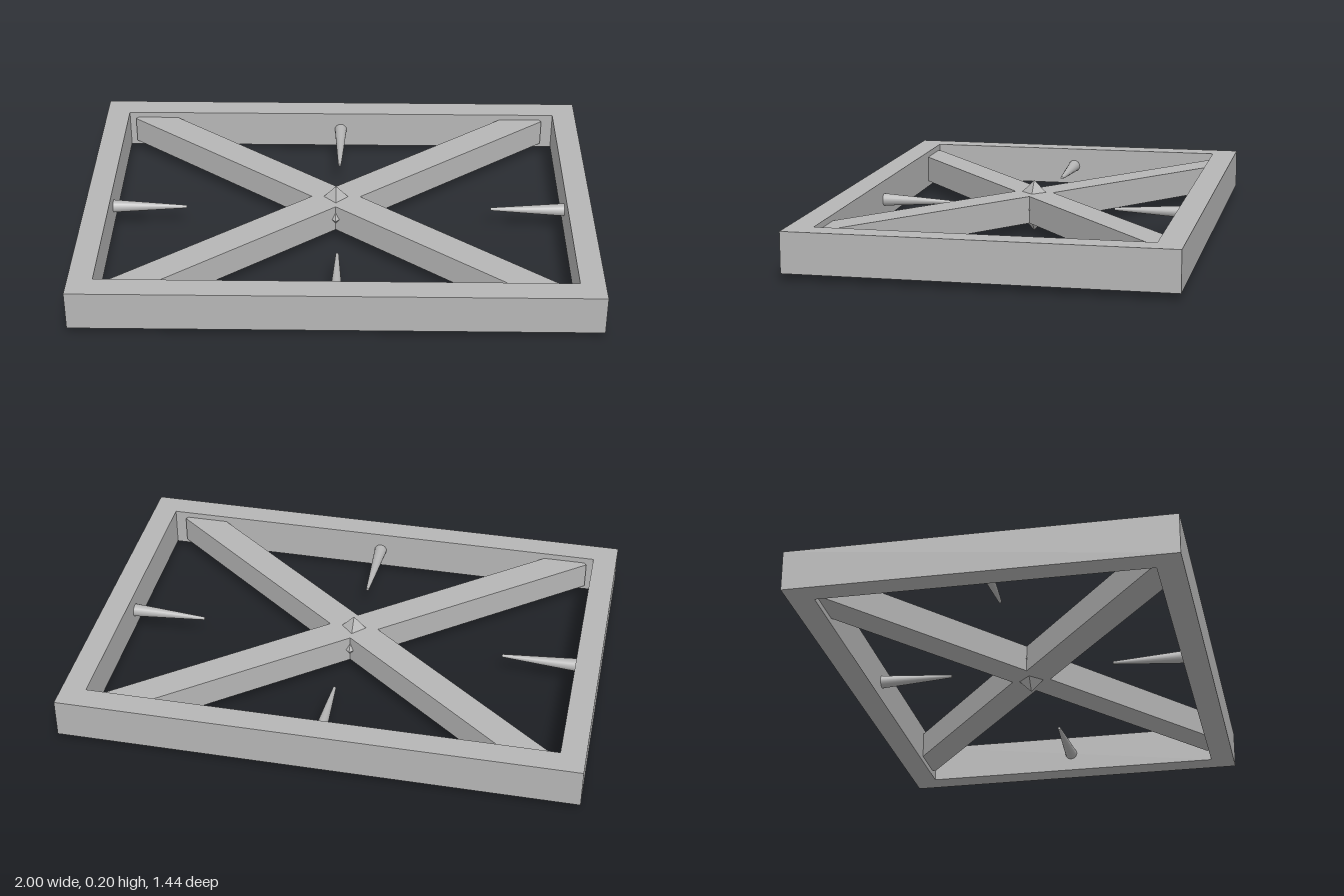
import * as THREE from 'three';

const MID_Y = 0.1025;

export function createModel() {
  const model = new THREE.Group();
  const grey = new THREE.MeshStandardMaterial({ color: 0xb6b6b6 });
  grey.name = 'grey';

  const add = (name, geometry, x = 0, z = 0) => {
    const mesh = new THREE.Mesh(geometry, grey);
    mesh.name = name;
    mesh.position.set(x, MID_Y, z);
    model.add(mesh);
    return mesh;
  };

  // A rectangle outline with half sizes w and h
  const rectangle = (Type, w, h) => new Type([
    new THREE.Vector2(-w, -h), new THREE.Vector2(w, -h),
    new THREE.Vector2(w, h), new THREE.Vector2(-w, h),
  ]);

  // Rectangular outer frame, open in the middle
  const frameHeight = 0.155;
  const outline = rectangle(THREE.Shape, 1, 0.72);
  outline.holes.push(rectangle(THREE.Path, 0.905, 0.623));
  const frame = new THREE.ExtrudeGeometry(outline, { depth: frameHeight, bevelEnabled: false });
  frame.translate(0, 0, -frameHeight / 2).rotateX(-Math.PI / 2);
  add('frame', frame);

  // Two crossing diagonal braces, a little lower than the frame
  const centreX = -0.01;
  for (const side of [-1, 1]) {
    const brace = add('diagonalBrace', new THREE.BoxGeometry(2.12, 0.108, 0.12), centreX);
    brace.rotation.y = side * Math.atan2(1.245, 1.572);
  }

  // Diamond stud where the braces cross
  add('centreStud', new THREE.OctahedronGeometry(MID_Y), centreX);

  // Blunt spikes pointing inward from the middle of each frame side
  const spikeLength = 0.3;
  for (let i = 0; i < 4; i++) {
    const angle = i * Math.PI / 2;
    const reach = (i % 2 ? 0.33 : 0.61) + spikeLength / 2;
    const spike = new THREE.CylinderGeometry(0.006, 0.026, spikeLength, 16);
    spike.rotateZ(Math.PI / 2).translate(reach, 0, 0).rotateY(angle);
    add('spike', spike);
  }

  return model;
}
